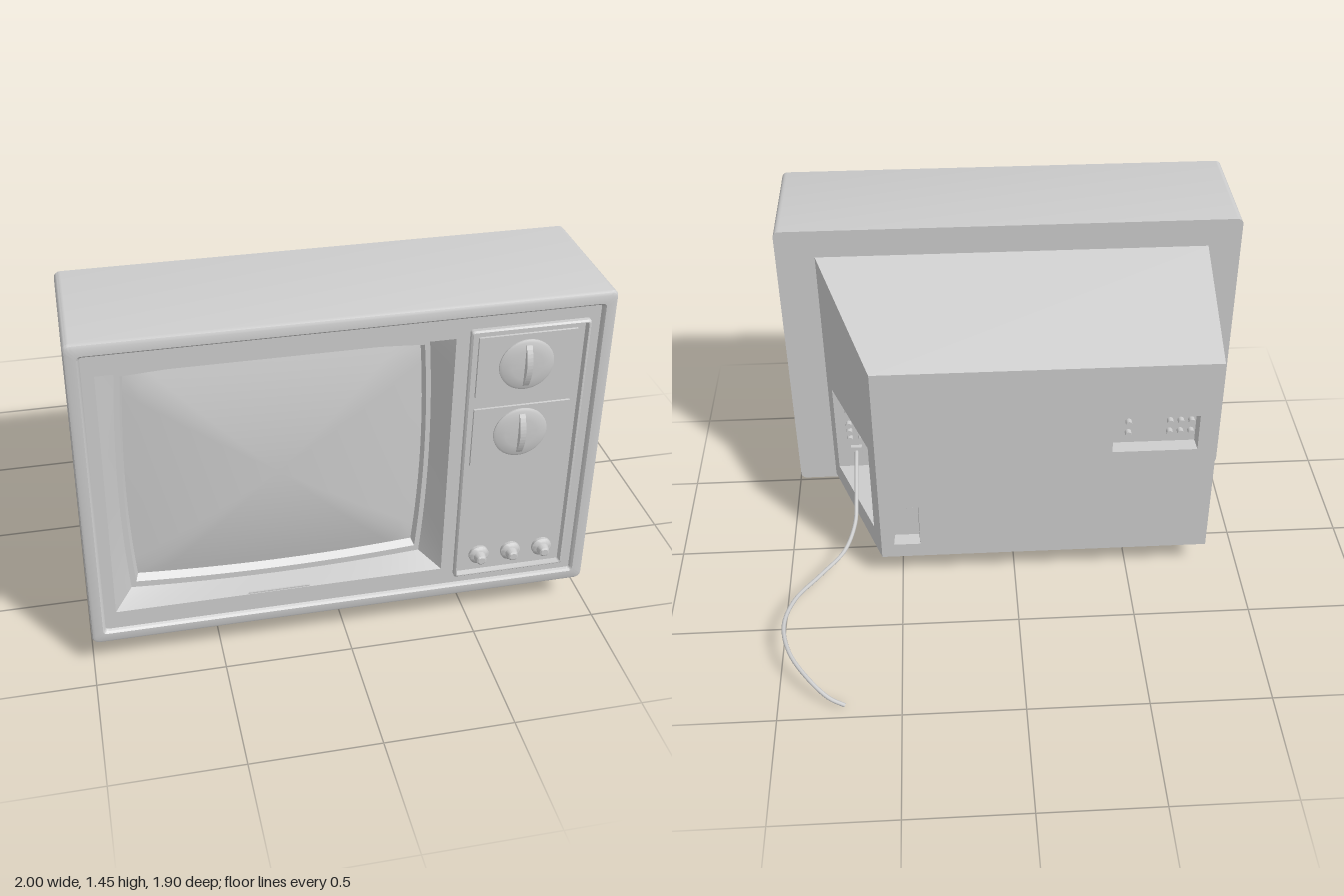
import * as THREE from 'three';
import { toCreasedNormals } from 'three/addons/utils/BufferGeometryUtils.js';

const mat = new THREE.MeshStandardMaterial({ color: 0xcccccc, side: THREE.DoubleSide });

function add(parent, name, geo, x = 0, y = 0, z = 0) {
  const m = new THREE.Mesh(geo, mat);
  m.name = name;
  m.position.set(x, y, z);
  parent.add(m);
  return m;
}

// Skin over a series of closed rings; capEnd closes the last ring, capStart the first
function loft(rings, { capStart = false, capEnd = false, crease = 0.5 } = {}) {
  const n = rings[0].length, pos = rings.flat(2), idx = [];
  for (let r = 0; r < rings.length - 1; r++)
    for (let i = 0; i < n; i++) {
      const a = r * n + i, b = r * n + (i + 1) % n;
      idx.push(a, b, b + n, a, b + n, a + n);
    }
  const cap = (ring, base, flip) => {
    const c = [0, 1, 2].map(k => ring.reduce((s, p) => s + p[k], 0) / n), ci = pos.length / 3;
    pos.push(...c);
    for (let i = 0; i < n; i++) {
      const j = (i + 1) % n;
      idx.push(ci, base + (flip ? j : i), base + (flip ? i : j));
    }
  };
  if (capStart) cap(rings[0], 0, true);
  if (capEnd) cap(rings.at(-1), (rings.length - 1) * n, false);
  const g = new THREE.BufferGeometry();
  g.setAttribute('position', new THREE.Float32BufferAttribute(pos, 3));
  g.setIndex(idx);
  g.computeVertexNormals();
  return toCreasedNormals(g, crease);
}

// Rounded rectangle ring, counter-clockwise seen from +z
function roundRing(x0, x1, y0, y1, r, z, n = 5) {
  const out = [];
  [[x1 - r, y1 - r], [x0 + r, y1 - r], [x0 + r, y0 + r], [x1 - r, y0 + r]].forEach(([cx, cy], q) => {
    for (let i = 0; i <= n; i++) {
      const a = (q + i / n) * Math.PI / 2;
      out.push([cx + r * Math.cos(a), cy + r * Math.sin(a), z]);
    }
  });
  return out;
}

// Rectangle ring whose sides bow outward
function barrelRing(x0, x1, y0, y1, bow, z, n = 12) {
  const c = [[x1, y0], [x1, y1], [x0, y1], [x0, y0]], nrm = [[1, 0], [0, 1], [-1, 0], [0, -1]], out = [];
  for (let s = 0; s < 4; s++)
    for (let i = 0; i < n; i++) {
      const t = i / n, b = bow * 4 * t * (1 - t), p = c[s], q = c[(s + 1) % 4];
      out.push([p[0] + (q[0] - p[0]) * t + nrm[s][0] * b, p[1] + (q[1] - p[1]) * t + nrm[s][1] * b, z]);
    }
  return out;
}

const rect = (a, b, c, d) => [[a, c], [b, c], [b, d], [a, d]];

// Flat face with holes, placed in space by a mapping (u, v) -> [x, y, z]
function face(outline, holes, map) {
  const toV = p => new THREE.Vector2(p[0], p[1]);
  const s = new THREE.Shape(outline.map(toV));
  holes.forEach(h => s.holes.push(new THREE.Path(h.map(toV))));
  const g = new THREE.ShapeGeometry(s), p = g.attributes.position;
  for (let i = 0; i < p.count; i++) p.setXYZ(i, ...map(p.getX(i), p.getY(i)));
  g.computeVertexNormals();
  return g;
}

function frame(x0, x1, y0, y1, w, z0, z1) {
  const b = 0.006;
  return loft([
    roundRing(x0, x1, y0, y1, 0.01, z0), roundRing(x0, x1, y0, y1, 0.01, z1 - b),
    roundRing(x0 + b, x1 - b, y0 + b, y1 - b, 0.01, z1),
    roundRing(x0 + w - b, x1 - w + b, y0 + w - b, y1 - w + b, 0.008, z1),
    roundRing(x0 + w, x1 - w, y0 + w, y1 - w, 0.006, z0)]);
}

function buildCabinet(g) {
  const R = (d, r, z) => roundRing(-1 + d, 0.975 - d, 0.13 + d, 1.45 - d, r, z);
  add(g, 'cabinet', loft([
    R(0, 0.025, 0.36), R(0, 0.025, 0.9), R(0.005, 0.025, 0.91), R(0.015, 0.02, 0.915),
    R(0.045, 0.015, 0.915), R(0.052, 0.012, 0.908), R(0.06, 0.01, 0.885)], { capStart: true }));
  add(g, 'frontPanel', face(rect(-0.945, 0.92, 0.185, 1.395), [rect(-0.9, 0.38, 0.262, 1.312)],
    (u, v) => [u, v, 0.898]));
  // Sloping surround stepping down to the tube
  add(g, 'screenSurround', loft([
    barrelRing(-0.9, 0.38, 0.262, 1.312, 0, 0.898), barrelRing(-0.83, 0.31, 0.3, 1.265, 0.02, 0.81),
    barrelRing(-0.81, 0.292, 0.325, 1.248, 0.02, 0.81), barrelRing(-0.8, 0.283, 0.345, 1.235, 0.02, 0.785)],
    { crease: 0.3 }));
  // Domed glass made of shrinking rings
  const rim = barrelRing(-0.8, 0.283, 0.345, 1.235, 0.02, 0), cx = -0.258, cy = 0.79, rings = [];
  for (let i = 0; i < 10; i++) {
    const k = 1 - i / 10;
    rings.push(rim.map(([x, y]) => [cx + (x - cx) * k, cy + (y - cy) * k, 0.785 + 0.06 * (1 - k * k)]));
  }
  add(g, 'screen', loft(rings, { capEnd: true, crease: 1 }));
  add(g, 'latchStrip', new THREE.BoxGeometry(0.24, 0.006, 0.006), -0.27, 0.268, 0.896);
}

function buildControls(g) {
  add(g, 'controlFrame', frame(0.43, 0.88, 0.225, 1.345, 0.016, 0.89, 0.92));
  for (const y of [1.18, 0.875]) {
    add(g, 'dialPlate', loft([roundRing(0.462, 0.84, y - 0.128, y + 0.13, 0.004, 0.89),
      roundRing(0.465, 0.837, y - 0.125, y + 0.127, 0.004, 0.905)], { capEnd: true }));
  }
  for (const y of [1.18, 0.885]) {
    const dial = new THREE.Group();
    dial.name = 'channelDial';
    dial.position.set(0.65, y, 0.9);
    g.add(dial);
    const profile = [[0.104, 0], [0.104, 0.01], [0.095, 0.015], [0.06, 0.019], [0, 0.021]].map(p => new THREE.Vector2(...p));
    const disc = add(dial, 'dialDisc', toCreasedNormals(new THREE.LatheGeometry(profile, 40), 0.5));
    disc.rotation.x = Math.PI / 2;
    // Thin arched finger grip
    const s = new THREE.Shape();
    s.moveTo(-0.085, 0);
    s.lineTo(-0.085, 0.018);
    s.quadraticCurveTo(0, 0.07, 0.085, 0.018);
    s.lineTo(0.085, 0);
    const grip = new THREE.ExtrudeGeometry(s, { depth: 0.022, bevelEnabled: false, curveSegments: 12 });
    grip.translate(0, 0, -0.011);
    grip.applyMatrix4(new THREE.Matrix4().makeBasis(
      new THREE.Vector3(0, 1, 0), new THREE.Vector3(0, 0, 1), new THREE.Vector3(1, 0, 0)));
    add(dial, 'dialGrip', grip);
  }
  const knobProfile = [[0.04, 0], [0.04, 0.012], [0.034, 0.018], [0.024, 0.022], [0.02, 0.046], [0.014, 0.05], [0, 0.05]]
    .map(p => new THREE.Vector2(...p));
  for (const x of [0.53, 0.66, 0.79])
    add(g, 'smallKnob', toCreasedNormals(new THREE.LatheGeometry(knobProfile, 24), 0.5), x, 0.315, 0.897)
      .rotation.x = Math.PI / 2;
}

const jackGeo = new THREE.CylinderGeometry(0.014, 0.014, 0.026, 12).rotateX(Math.PI / 2);

function buildHousing(g) {
  const zB = -0.21, zF = 0.36, top = 1.325, low = 1.11;
  const slope = (u, v) => [0.585 + (-u - zB) * 0.395, v, -u];
  const backPockets = [[-0.77, -0.41, 0.675, 0.85], [0.415, 0.53, 0.2, 0.41]];
  // Back wall, seen with u = -x
  add(g, 'backWall', face(rect(-0.585, 0.85, 0.13, low),
    backPockets.map(([a, b, c, d]) => rect(-b, -a, c, d)), (u, v) => [-u, v, zB]));
  add(g, 'slantedSide', face([[-zF, 0.15], [-zB, 0.13], [-zB, low], [-zF, top]],
    [rect(-0.3, 0.13, 0.24, 0.68)], slope));
  add(g, 'plainSide', face([[zB, 0.13], [zF, 0.15], [zF, top], [zB, low]], [],
    (u, v) => [-0.85 - (u - zB) * 0.0175, v, u]));
  const lid = [[-0.86, -zF], [0.81, -zF], [0.585, -zB], [-0.85, -zB]];
  const drop = (front, back) => (u, v) => [u, front + (back - front) * (v + zF) / (zF - zB), -v];
  add(g, 'slopingTop', face(lid, [], drop(top, low)));
  // Reversed order of corners turns the underside downward
  const under = face(lid, [], drop(0.15, 0.13));
  under.index.array.reverse();
  under.computeVertexNormals();
  add(g, 'underside', under);

  // Recesses in the back wall
  for (const [a, b, c, d] of backPockets) {
    const ring = (z, k) => [[a + k, c + k], [a + k, d - k], [b - k, d - k], [b - k, c + k]].map(([x, y]) => [x, y, z]);
    add(g, 'backRecess', loft([ring(zB, 0), ring(zB + 0.06, 0.004)], { capEnd: true }));
  }
  for (const y of [0.735, 0.79]) for (const x of [-0.48, -0.655, -0.7, -0.745])
    add(g, 'backJack', jackGeo, x, y, zB + 0.048);
  add(g, 'backSocket', jackGeo, 0.455, 0.37, zB + 0.048);

  // Wedge-shaped recess in the slanted side
  const edge = z => 0.585 + (z - zB) * 0.395, x0 = edge(-0.13), x1 = edge(0.3);
  add(g, 'sideRecessFloor', face(rect(-0.3, 0.13, 0.24, 0.68), [], (u, v) => [x0, v, -u]));
  add(g, 'sideRecessWall', face(rect(-x1, -x0, 0.24, 0.68), [], (u, v) => [-u, v, 0.3]));
  for (const y of [0.24, 0.68])
    add(g, 'sideRecessEnd', face([[x0, 0.13], [x0, -0.3], [x1, -0.3]], [], (u, v) => [u, y, -v]));
  for (const y of [0.64, 0.6, 0.56, 0.49, 0.45, 0.41]) for (const x of [0.675, 0.725])
    add(g, 'sideJack', jackGeo, x, y, 0.288);
  add(g, 'cableSocket', new THREE.BoxGeometry(0.05, 0.045, 0.02), 0.7, 0.34, 0.29);
}

export function createModel() {
  const g = new THREE.Group();
  g.name = 'television';
  buildCabinet(g);
  buildControls(g);
  buildHousing(g);
  // Loose cable trailing from the side recess
  const path = [[0.7, 0.34, 0.29], [0.7, 0.31, 0.2], [0.7, 0.24, 0.04], [0.705, 0.195, -0.05], [0.75, 0.15, -0.18],
    [0.85, 0.132, -0.31], [0.95, 0.13, -0.45], [0.988, 0.13, -0.6], [0.955, 0.12, -0.75], [0.87, 0.085, -0.87],
    [0.79, 0.04, -0.93], [0.73, 0.01, -0.943]].map(p => new THREE.Vector3(...p));
  add(g, 'cable', new THREE.TubeGeometry(new THREE.CatmullRomCurve3(path), 80, 0.009, 8));
  return g;
}
